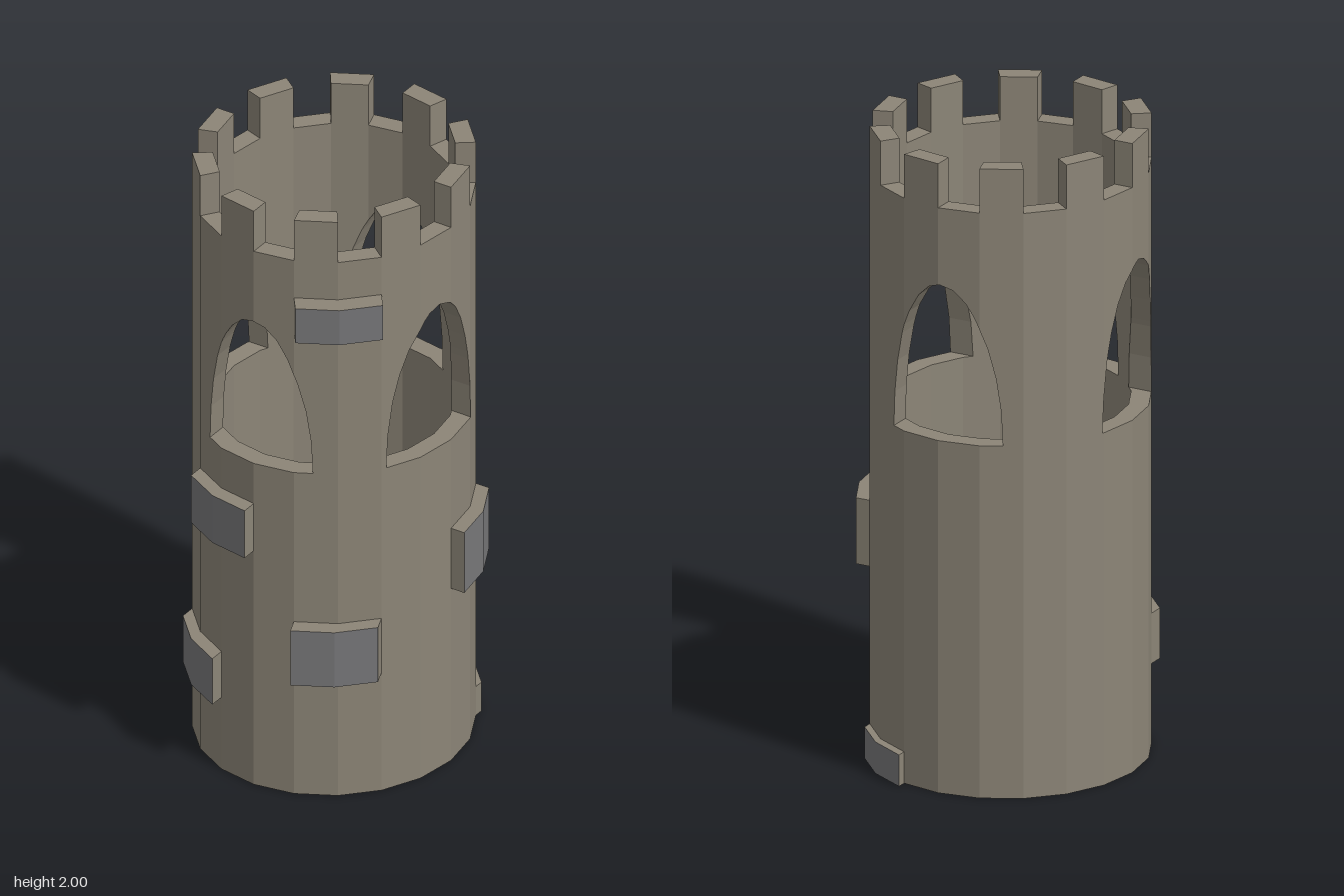
import * as THREE from 'three';

const SIDES = 20, CENTRE = [-0.023, -0.021];
const OUTER = [0.417, 0.437], INNER = [0.356, 0.374];
const SILL = 1.12, RISE = 0.495, WALL_TOP = 1.86, TOP = 2;

const stone = new THREE.MeshStandardMaterial({ color: 0x8c8577 });
const brickFace = new THREE.MeshStandardMaterial({ color: 0x777779 });

// Corner k of a ring as [x, z], counted from the front towards +x
function corner(ring, k) {
  const a = (k / SIDES) * Math.PI * 2;
  return [CENTRE[0] + ring[0] * Math.sin(a), CENTRE[1] + ring[1] * Math.cos(a)];
}
const corners = (ring, from, count) => Array.from({ length: count + 1 }, (_, i) => corner(ring, from + i));

// Arched openings: axis runs along the opening's width, side is the wall it cuts
const arches = [];
for (const side of [1, -1]) {
  arches.push({ axis: 0, side, mid: -0.029, half: 0.185 });
  arches.push({ axis: 1, side, mid: 0.03, half: 0.191 });
}

// Point on a ring's straight facets at coordinate t along the arch's axis
function onRing(ring, { axis, side }, t) {
  const other = 1 - axis;
  for (let k = 0; k < SIDES; k++) {
    const a = corner(ring, k), b = corner(ring, k + 1);
    if (((a[other] + b[other]) / 2 - CENTRE[other]) * side <= 0) continue;
    if (t < Math.min(a[axis], b[axis]) || t > Math.max(a[axis], b[axis])) continue;
    const f = (t - a[axis]) / (b[axis] - a[axis]);
    return [a[0] + (b[0] - a[0]) * f, a[1] + (b[1] - a[1]) * f];
  }
}

const archHeight = (arch, t) =>
  SILL + RISE * Math.sqrt(Math.max(0, 1 - ((t - arch.mid) / arch.half) ** 2));

// Width positions of an arch: even steps round the curve plus the wall corners
function archSteps(arch) {
  const ts = [];
  for (let i = 0; i <= 14; i++) ts.push(arch.mid - arch.half * Math.cos((i / 14) * Math.PI));
  for (const ring of [OUTER, INNER])
    for (const p of corners(ring, 0, SIDES))
      if (Math.abs(p[arch.axis] - arch.mid) < arch.half) ts.push(p[arch.axis]);
  ts.sort((a, b) => a - b);
  const steps = ts.filter((t, i) => i === 0 || t - ts[i - 1] > 1e-4);
  const forwards = arch.side * (arch.axis === 0 ? 1 : -1) > 0;
  return forwards ? steps : steps.reverse();
}

// Quad of four [x, y, z] corners, counter-clockwise
const quad = (out, a, b, c, d) => out.push(...a, ...b, ...c, ...a, ...c, ...d);
const at = (p, y) => [p[0], y, p[1]];

function addMesh(group, name, positions, material) {
  const geometry = new THREE.BufferGeometry();
  geometry.setAttribute('position', new THREE.Float32BufferAttribute(positions, 3));
  geometry.computeVertexNormals();
  const mesh = new THREE.Mesh(geometry, material);
  mesh.name = name;
  group.add(mesh);
}

// One skin of the wall, open at the arches
function wallSkin(ring, outward) {
  const points = [];
  for (const arch of arches)
    for (const t of archSteps(arch)) points.push({ p: onRing(ring, arch, t), h: archHeight(arch, t) });
  for (const p of corners(ring, 0, SIDES - 1))
    if (!points.some((q) => Math.hypot(q.p[0] - p[0], q.p[1] - p[1]) < 1e-3)) points.push({ p, h: SILL });
  const angle = ({ p }) => Math.atan2(p[0] - CENTRE[0], p[1] - CENTRE[1]);
  points.sort((a, b) => angle(a) - angle(b));
  const out = [];
  points.forEach((start, i) => {
    let a = start, b = points[(i + 1) % points.length];
    if (!outward) [a, b] = [b, a];
    quad(out, at(a.p, 0), at(b.p, 0), at(b.p, SILL), at(a.p, SILL));
    quad(out, at(a.p, a.h), at(b.p, b.h), at(b.p, WALL_TOP), at(a.p, WALL_TOP));
  });
  return out;
}

// Sill and curved underside of one arch
function archLining(arch) {
  const out = [];
  const steps = archSteps(arch).map((t) => ({
    o: onRing(OUTER, arch, t), i: onRing(INNER, arch, t), h: archHeight(arch, t),
  }));
  for (let n = 0; n + 1 < steps.length; n++) {
    const a = steps[n], b = steps[n + 1];
    quad(out, at(a.o, SILL), at(b.o, SILL), at(b.i, SILL), at(a.i, SILL));
    quad(out, at(a.i, a.h), at(b.i, b.h), at(b.o, b.h), at(a.o, a.h));
  }
  return out;
}

// Upright block between two lines of points: its body, and its outer face apart
function block(inner, outer, y0, y1, closed = false) {
  const body = [], face = [], last = inner.length - 1;
  for (let k = 0; k < last; k++) {
    const [ia, ib, oa, ob] = [inner[k], inner[k + 1], outer[k], outer[k + 1]];
    quad(body, at(oa, y1), at(ob, y1), at(ib, y1), at(ia, y1));
    quad(body, at(ia, y0), at(ib, y0), at(ob, y0), at(oa, y0));
    quad(face, at(oa, y0), at(ob, y0), at(ob, y1), at(oa, y1));
    if (closed) quad(body, at(ib, y0), at(ia, y0), at(ia, y1), at(ib, y1));
  }
  const [i0, o0, i1, o1] = [inner[0], outer[0], inner[last], outer[last]];
  quad(body, at(i0, y0), at(o0, y0), at(o0, y1), at(i0, y1));
  quad(body, at(o1, y0), at(i1, y0), at(i1, y1), at(o1, y1));
  return { body, face };
}

export function createModel() {
  const tower = new THREE.Group();
  tower.name = 'tower';

  // Wall
  addMesh(tower, 'outerWall', wallSkin(OUTER, true), stone);
  addMesh(tower, 'innerWall', wallSkin(INNER, false), stone);
  for (const arch of arches) addMesh(tower, 'archLining', archLining(arch), stone);

  // Flat rims at the foot and under the merlons
  const foot = [], walk = [];
  for (let k = 0; k < SIDES; k++) {
    const [oa, ob] = corners(OUTER, k, 1), [ia, ib] = corners(INNER, k, 1);
    quad(foot, at(ia, 0), at(ib, 0), at(ob, 0), at(oa, 0));
    quad(walk, at(oa, WALL_TOP), at(ob, WALL_TOP), at(ib, WALL_TOP), at(ia, WALL_TOP));
  }
  addMesh(tower, 'footRim', foot, stone);
  addMesh(tower, 'topRim', walk, stone);

  // Merlons on every other facet
  for (let k = 1; k < SIDES; k += 2) {
    const { body, face } = block(corners(INNER, k, 1), corners(OUTER, k, 1), WALL_TOP, TOP, true);
    addMesh(tower, 'merlon', body.concat(face), stone);
  }

  // Raised bricks: first corner, bottom, top, push in x and z
  const bricks = [
    [1, 0.41, 0.6, 0.02, 0.05],
    [1, 1.61, 1.73, 0.038, 0.05],
    [-2, 0.815, 0.98, 0, 0.05],
    [-3, 0.25, 0.41, 0, 0.05],
    [5, 0.6, 0.81, 0.047, 0],
    [7, 0, 0.1, 0, -0.031],
  ];
  for (const [k, y0, y1, dx, dz] of bricks) {
    const inner = corners(OUTER, k, 2);
    const { body, face } = block(inner, inner.map(([x, z]) => [x + dx, z + dz]), y0, y1);
    addMesh(tower, 'brickBody', body, stone);
    addMesh(tower, 'brickFace', face, brickFace);
  }
  return tower;
}
